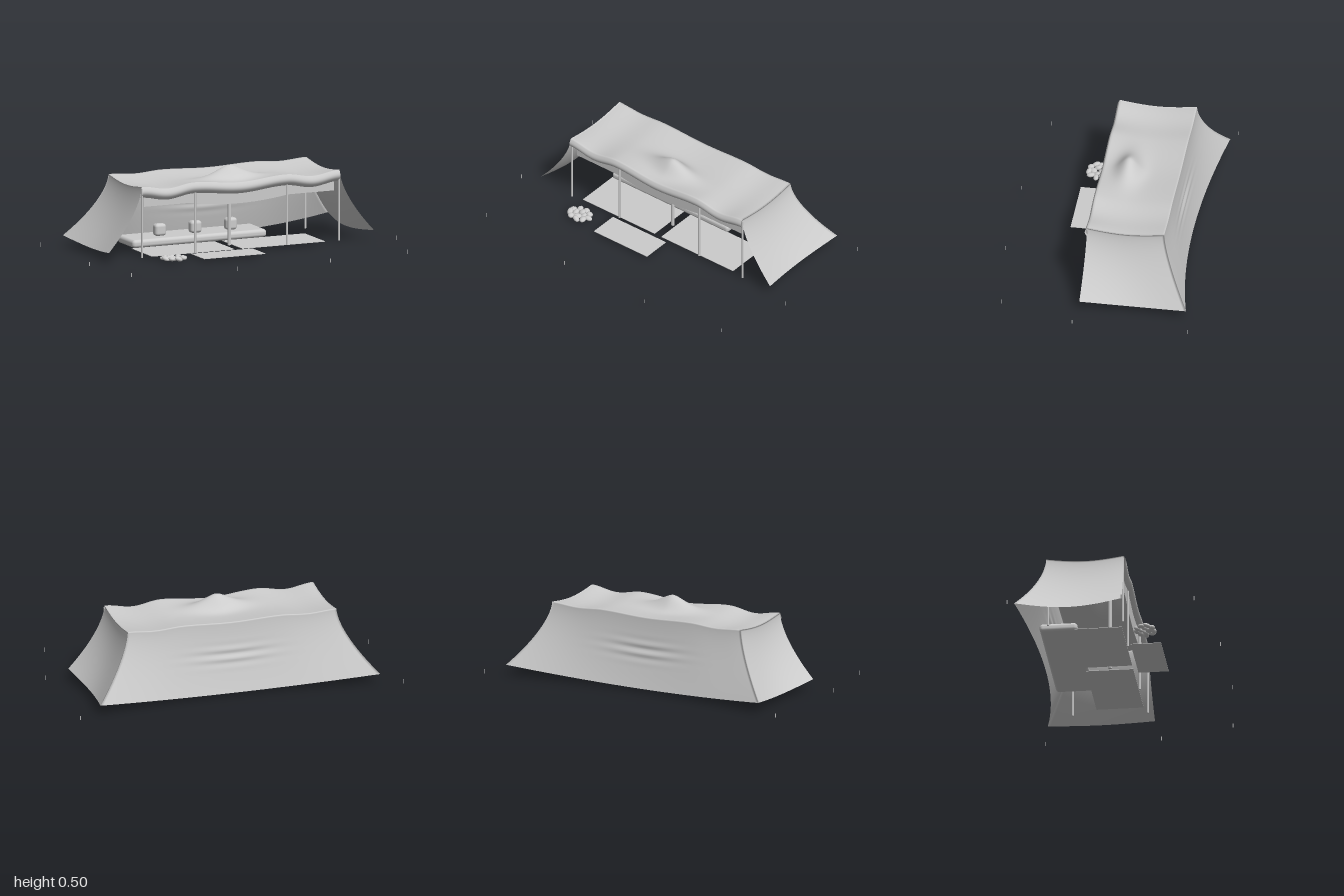
import * as THREE from 'three';
import { mergeGeometries, mergeVertices } from 'three/addons/utils/BufferGeometryUtils.js';
import { RoundedBoxGeometry } from 'three/addons/geometries/RoundedBoxGeometry.js';

const HALF = 0.645, FRONT = 0.06, BACK = -0.4;
const lerp = THREE.MathUtils.lerp;

// Grid surface from a rule (u, v in 0..1) -> [x, y, z]
function surface(rule, nu, nv, flip = false) {
  const pos = [], index = [];
  for (let j = 0; j <= nv; j++)
    for (let i = 0; i <= nu; i++) pos.push(...rule(i / nu, j / nv));
  for (let j = 0; j < nv; j++)
    for (let i = 0; i < nu; i++) {
      const a = j * (nu + 1) + i, b = a + 1, c = a + nu + 1, d = c + 1;
      if (flip) index.push(a, c, b, b, c, d);
      else index.push(a, b, c, b, d, c);
    }
  const g = new THREE.BufferGeometry();
  g.setAttribute('position', new THREE.Float32BufferAttribute(pos, 3));
  g.setIndex(index);
  return g;
}

// Cloth dips between the pole lines
function scallop(x) {
  const a = Math.abs(x);
  return a > 0.3 ? Math.sin(Math.PI * (a - 0.3) / (HALF - 0.3)) ** 2 : Math.cos(Math.PI * a / 0.6) ** 2;
}

// Roof height: sagging cloth with a peak over the middle pole
function roofY(x, z) {
  const t = (FRONT - z) / (FRONT - BACK);
  const sag = 0.022 * Math.sin(Math.PI * t) + scallop(x) * (0.01 + 0.014 * (1 - t) ** 4);
  const peak = 0.09 * Math.exp(-((Math.abs(x) / 0.13) ** 1.6)) * Math.exp(-(((z + 0.095) / 0.068) ** 2));
  return 0.443 - sag + peak;
}

function canopyGeometry() {
  const NX = 96, NZ = 40, NV = 48;
  const flare = v => v ** 1.6;
  const roof = surface((u, v) => {
    const x = lerp(-HALF, HALF, u), z = lerp(FRONT, BACK, v);
    return [x, roofY(x, z), z];
  }, NX, NZ);
  // Rolled front edge
  const valance = surface((u, v) => {
    const x = lerp(-HALF, HALF, u);
    return [x, roofY(x, FRONT) - 0.068 * v, FRONT + 0.016 * Math.sin(Math.PI * v * 0.9) - 0.02 * v ** 3];
  }, NX, 10, true);
  // Back wall with a few folds in the middle
  const back = surface((u, v) => {
    const s = 2 * u - 1, x = s * HALF, p = flare(v);
    const fold = 0.005 * Math.sin(v * 45) * Math.exp(-((s / 0.3) ** 2)) * Math.exp(-(((v - 0.48) / 0.13) ** 2));
    return [lerp(x, 0.865 * s, p), lerp(roofY(x, BACK), 0.015 + 0.05 * s * s, v),
      lerp(BACK, -0.475 - 0.09 * s * s, p) + fold];
  }, NX, NV);
  // Flared side walls
  const sides = [1, -1].map(m => surface((u, v) => {
    const z = lerp(FRONT, BACK, u), p = flare(v), bow = Math.sin(Math.PI * u);
    return [m * lerp(HALF, 0.865 - 0.033 * bow, p), lerp(roofY(HALF, z), 0.065 - 0.025 * bow, v),
      lerp(z, lerp(0.072, -0.565, u), p)];
  }, NZ, NV, m > 0));
  // Wind back and side walls outward, then weld for smooth folds
  for (const g of [back, ...sides]) {
    const a = g.index.array;
    if (g === back) continue;
    for (let i = 0; i < a.length; i += 3) [a[i + 1], a[i + 2]] = [a[i + 2], a[i + 1]];
  }
  const whole = mergeVertices(mergeGeometries([roof, valance, back, ...sides]), 1e-4);
  whole.computeVertexNormals();
  return whole;
}

export function createModel() {
  const model = new THREE.Group();
  model.name = 'desertTent';
  const grey = new THREE.MeshStandardMaterial({ color: 0xcccccc });
  grey.name = 'light grey';
  const cloth = new THREE.MeshStandardMaterial({ color: 0xcccccc, side: THREE.DoubleSide });
  cloth.name = 'light grey cloth';

  function add(name, geometry, x = 0, y = 0, z = 0, material = grey) {
    const mesh = new THREE.Mesh(geometry, material);
    mesh.name = name;
    mesh.position.set(x, y, z);
    model.add(mesh);
    return mesh;
  }

  add('canopy', canopyGeometry(), 0, 0, 0, cloth);

  // Inner strip hanging behind the front edge
  const strip = surface((u, v) => {
    const x = lerp(-0.62, 0.62, u);
    const low = 0.317 - 0.027 * Math.max(0, 1 - (x / 0.32) ** 2);
    return [x, lerp(roofY(x, 0.035) - 0.01, low, v), 0.035];
  }, 48, 4, true);
  strip.computeVertexNormals();
  add('innerStrip', strip, 0, 0, 0, cloth);

  // Poles: x, z, radius
  const poles = [[-0.64, 0.055, 0.006], [0.645, 0.055, 0.006], [-0.29, 0.045, 0.007], [0.31, 0.045, 0.007],
    [-0.635, -0.39, 0.006], [0.635, -0.39, 0.006], [0, -0.095, 0.011]];
  for (const [x, z, r] of poles) {
    const top = roofY(x, z) - 0.008, h = top - 0.017;
    add('pole', new THREE.CylinderGeometry(r, r, h, 12), x, 0.017 + h / 2, z);
  }

  // Rugs: x centre, z centre, width, depth
  for (const [x, z, w, d] of [[-0.3, -0.1, 0.54, 0.28], [0.29, -0.1, 0.54, 0.28], [-0.125, 0.155, 0.4, 0.18]])
    add('rug', new THREE.BoxGeometry(w, 0.003, d), x, 0.016, z);

  // Long mattress and its cushions
  add('mattress', new RoundedBoxGeometry(0.875, 0.048, 0.225, 4, 0.02), -0.128, 0.041, -0.338);
  for (const x of [-0.35, -0.118, 0.113])
    add('cushion', new RoundedBoxGeometry(0.072, 0.072, 0.055, 4, 0.018), x, 0.1, -0.32);

  // Fire ring: rough stones around an inner heap
  let seed = 7;
  const rand = () => (seed = (seed * 16807) % 2147483647) / 2147483647;
  for (let i = 0; i < 13; i++) {
    const inner = i > 8, a = inner ? i * 1.57 : i / 9 * Math.PI * 2, r = inner ? 0.026 : 0.056;
    const stone = add('fireStone', new THREE.SphereGeometry(0.02, 10, 8),
      -0.49 + r * 1.12 * Math.cos(a), 0.022 + rand() * 0.005, 0.17 + r * 0.9 * Math.sin(a));
    stone.scale.set(0.9 + rand() * 0.5, 0.55 + rand() * 0.15, 0.8 + rand() * 0.25);
    stone.rotation.set(rand() * 0.3, rand() * 6, rand() * 0.3);
  }

  // Ground pegs
  const pegs = [[-0.998, 0.085], [0.998, 0.095], [-0.998, -0.592], [0.998, -0.592],
    [-0.925, 0.51], [0.865, 0.535], [-0.27, 0.592], [0.335, 0.592]];
  for (const [x, z] of pegs) add('peg', new THREE.CylinderGeometry(0.002, 0.002, 0.026, 8), x, 0.013, z);

  return model;
}
